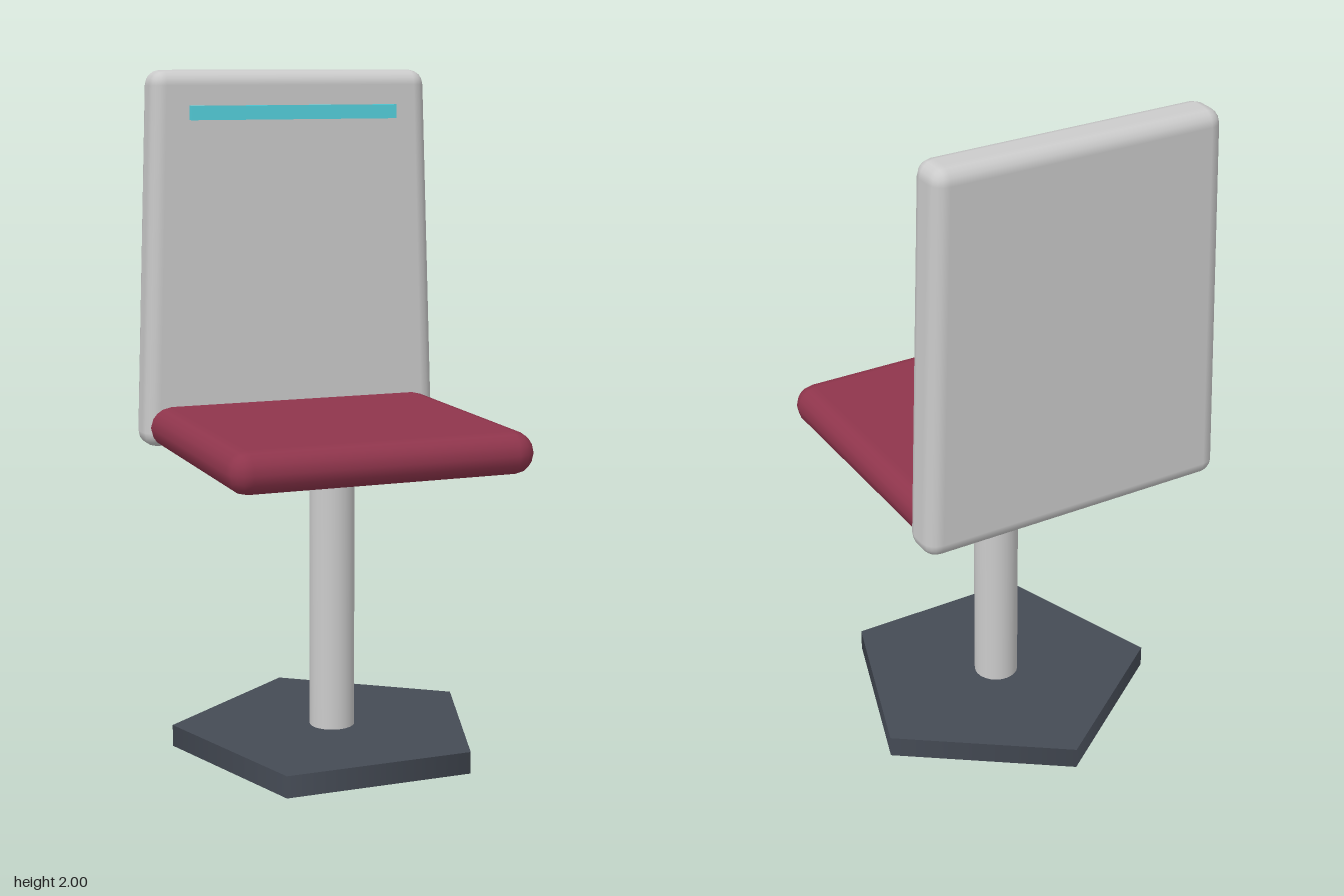
import * as THREE from 'three';
import { RoundedBoxGeometry } from 'three/addons/geometries/RoundedBoxGeometry.js';

const AXIS_Z = 0.01; // depth of the pedestal axis

export function createModel() {
  const group = new THREE.Group();

  const add = (name, geometry, color, x, y, z) => {
    const mesh = new THREE.Mesh(geometry, new THREE.MeshStandardMaterial({ color }));
    mesh.name = name;
    mesh.position.set(x, y, z);
    group.add(mesh);
    return mesh;
  };

  // Five-sided foot plate with one corner pointing backwards
  const foot = new THREE.CylinderGeometry(0.478, 0.478, 0.065, 5).rotateY(Math.PI);
  add('footPlate', foot, 0x454b55, 0, 0.0325, AXIS_Z);

  // Round column from the floor up into the seat
  add('column', new THREE.CylinderGeometry(0.067, 0.067, 0.9, 24), 0xcccccc, 0, 0.45, AXIS_Z);

  // Square cushion with fully rounded edges, running back under the backrest
  add('seat', new RoundedBoxGeometry(0.91, 0.125, 0.9, 2, 0.0625), 0x8f354c, 0, 0.9375, 0.015);

  // Backrest: rounded slab narrowing towards the top
  const height = 1.125;
  const back = new RoundedBoxGeometry(0.91, height, 0.13, 2, 0.045);
  const p = back.attributes.position;
  for (let i = 0; i < p.count; i++) {
    const t = p.getY(i) / height + 0.5;
    p.setX(i, p.getX(i) * THREE.MathUtils.lerp(0.475, 0.434, t) / 0.455);
  }
  add('backrest', back, 0xcccccc, 0, 0.875 + height / 2, -0.38);

  // Coloured bar across the upper front of the backrest
  add('backrestBar', new THREE.BoxGeometry(0.65, 0.042, 0.04), 0x55d2de, 0, 1.875, -0.312);

  return group;
}
